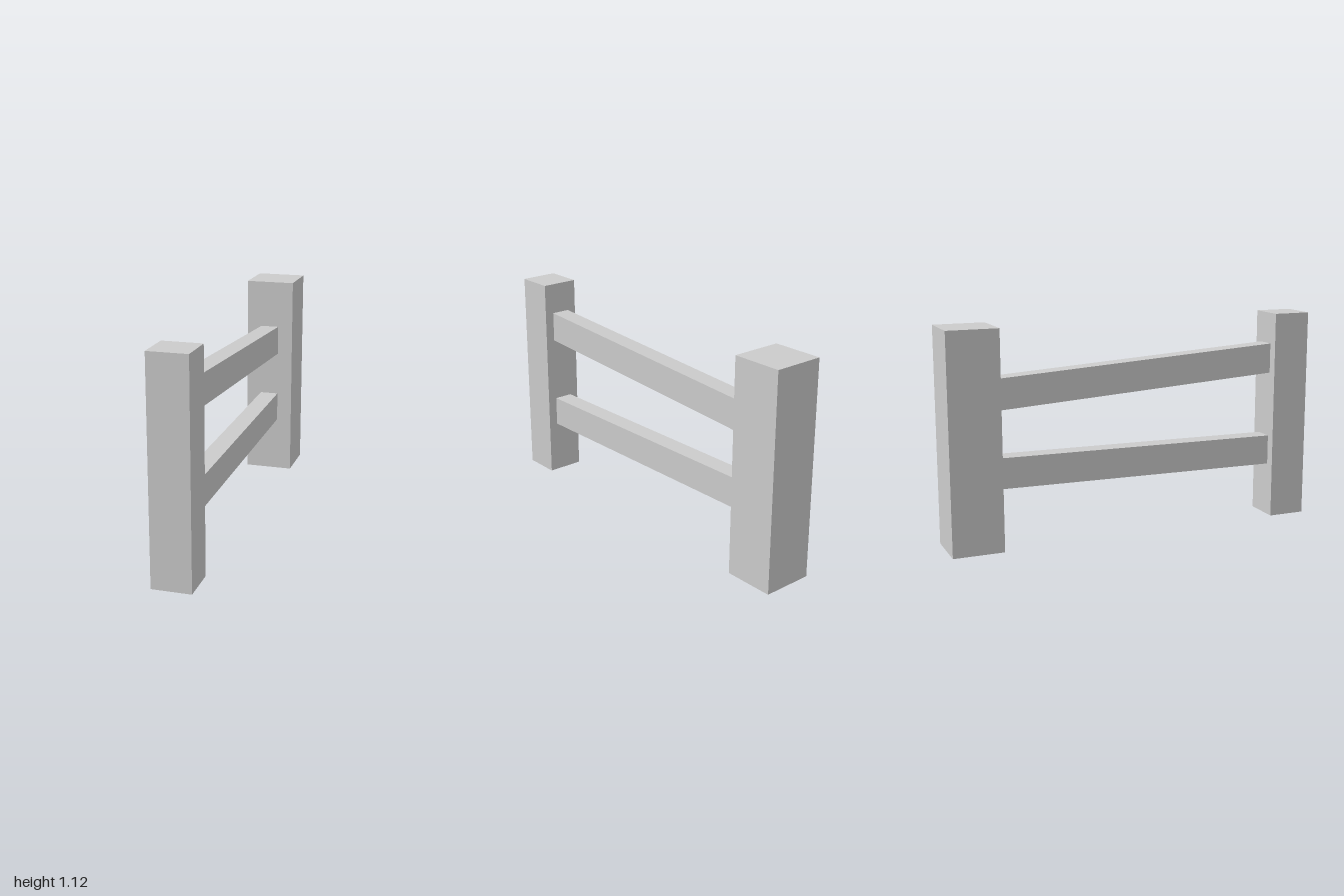
import * as THREE from 'three';

const POST_HEIGHT = 1.12;
const FRONT_FACE = 0.8, BACK_FACE = -0.735; // inner faces of the two posts
const INSET = 0.08; // how far the rails are let into the posts

export function createModel() {
  const group = new THREE.Group();
  const material = new THREE.MeshStandardMaterial({ color: 0xcccccc, flatShading: true });

  const addBox = (name, w, h, d, y, z) => {
    const mesh = new THREE.Mesh(new THREE.BoxGeometry(w, h, d), material);
    mesh.name = name;
    mesh.position.set(0, y, z);
    group.add(mesh);
    return mesh;
  };

  // Square posts: a slim one at the front, a thicker one at the back
  addBox('frontPost', 0.2, POST_HEIGHT, 0.2, POST_HEIGHT / 2, 0.9);
  addBox('backPost', 0.265, POST_HEIGHT, 0.265, POST_HEIGHT / 2, -0.8675);

  // Rail whose centre line meets the post faces at the given heights
  const addRail = (name, yFront, yBack) => {
    const run = FRONT_FACE - BACK_FACE, rise = yFront - yBack;
    const length = Math.hypot(run, rise) + 2 * INSET;
    const rail = addBox(name, 0.1, 0.159, length, (yFront + yBack) / 2, (FRONT_FACE + BACK_FACE) / 2);
    rail.rotation.x = -Math.atan2(rise, run);
  };
  addRail('upperRail', 0.875, 0.782);
  addRail('lowerRail', 0.366, 0.382);

  return group;
}
